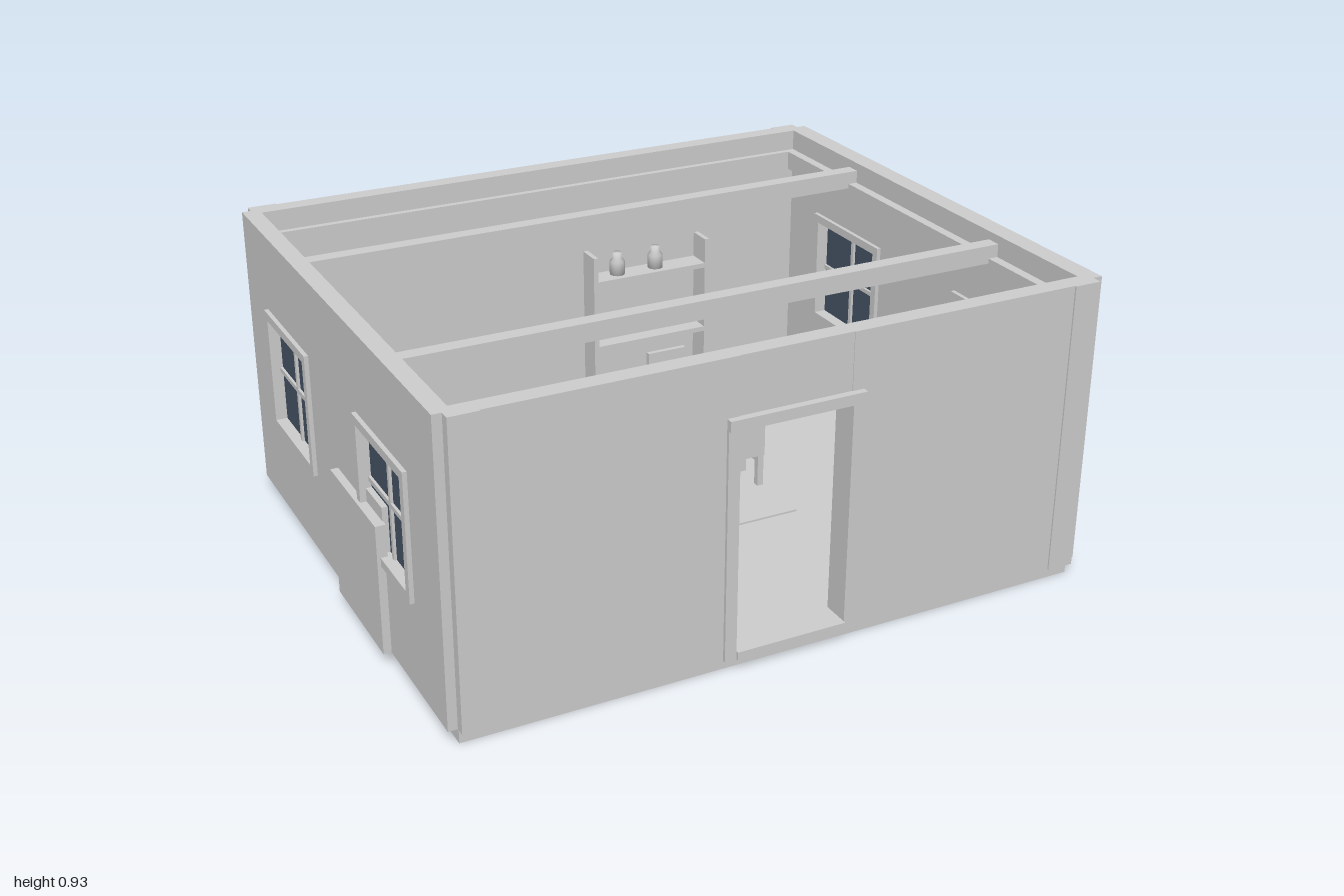
import * as THREE from 'three';

export function createModel() {
  const model = new THREE.Group();
  const plaster = new THREE.MeshStandardMaterial({ name: 'plainGrey', color: 0xcccccc });
  const glass = new THREE.MeshStandardMaterial({ name: 'darkGlass', color: 0x445464 });

  const group = (name, parent = model) => {
    const g = new THREE.Group();
    g.name = name;
    parent.add(g);
    return g;
  };
  const add = (name, geometry, parent, material = plaster) => {
    const m = new THREE.Mesh(geometry, material);
    m.name = name;
    parent.add(m);
    return m;
  };
  // Box given by its limits on each axis
  const box = (name, x0, x1, y0, y1, z0, z1, parent = model, material = plaster) => {
    const m = add(name, new THREE.BoxGeometry(x1 - x0, y1 - y0, z1 - z0), parent, material);
    m.position.set((x0 + x1) / 2, (y0 + y1) / 2, (z0 + z1) / 2);
    return m;
  };
  // Turned part from [radius, height] pairs
  const turned = (name, points, x, y, z, parent = model, sides = 24) => {
    const m = add(name, new THREE.LatheGeometry(points.map(p => new THREE.Vector2(...p)), sides), parent);
    m.position.set(x, y, z);
    return m;
  };

  const FLOOR = 0.065, BASE = 0.04, TOP = 0.925;

  // Foundation and floor
  box('foundation', -0.95, 0.957, 0, BASE, -0.795, 0.79);
  box('floor', -0.925, 0.925, BASE, FLOOR, -0.77, 0.755);

  // Back wall and front wall with the door opening
  const walls = group('walls');
  box('backWall', -0.95, 0.957, BASE, TOP, -0.825, -0.77, walls);
  box('frontWallRight', -0.95, -0.165, BASE, TOP, 0.755, 0.81, walls);
  box('frontWallLeft', 0.172, 0.957, BASE, TOP, 0.755, 0.81, walls);
  box('doorHeader', -0.165, 0.172, 0.725, TOP, 0.755, 0.808, walls);
  for (const [x0, x1] of [[-0.95, -0.865], [0.875, 0.957]]) {
    box('cornerBoard', x0, x1, BASE, TOP, -0.832, -0.8, walls);
    box('cornerBoard', x0, x1, BASE, TOP, 0.79, 0.815, walls);
  }

  // Side walls, each with two openings
  const openings = [[-0.57, -0.235], [0.225, 0.56]];
  const y0 = 0.335, y1 = 0.66;
  const sides = [
    { side: -1, inner: -0.925, outer: -0.977 },
    { side: 1, inner: 0.925, outer: 0.986 },
  ];
  for (const { side, inner, outer } of sides) {
    const a = Math.min(inner, outer), b = Math.max(inner, outer);
    for (const [z0, z1] of [[-0.8, -0.57], [-0.235, 0.225], [0.56, 0.785]])
      box('sideWall', a, b, BASE, TOP, z0, z1, walls);
    for (const [z0, z1] of openings) {
      box('wallBelowWindow', a, b, BASE, y0, z0, z1, walls);
      box('wallAboveWindow', a, b, y1, TOP, z0, z1, walls);

      const win = group('window');
      const mid = (a + b) / 2, zc = (z0 + z1) / 2, yc = (y0 + y1) / 2;
      box('windowPane', mid - 0.004, mid + 0.004, y0, y1, z0, z1, win, glass);
      box('muntinUpright', mid - 0.012, mid + 0.012, y0, y1, zc - 0.007, zc + 0.007, win);
      box('muntinBar', mid - 0.012, mid + 0.012, yc - 0.007, yc + 0.007, z0, z1, win);
      // Casing on the outside and inside faces
      for (const face of [outer + side * 0.004, inner - side * 0.004]) {
        const p = face - 0.009, q = face + 0.009, w = 0.026;
        box('casing', p, q, y1, y1 + w, z0 - w, z1 + w, win);
        box('casing', p, q, y0 - w, y0, z0 - w, z1 + w, win);
        box('casing', p, q, y0, y1, z0 - w, z0, win);
        box('casing', p, q, y0, y1, z1, z1 + w, win);
      }
    }
  }

  // Door frame and sill
  const door = group('doorFrame');
  box('doorJamb', -0.2, -0.165, BASE, 0.725, 0.735, 0.82, door);
  box('doorJamb', 0.172, 0.207, BASE, 0.725, 0.735, 0.82, door);
  box('doorLintel', -0.2, 0.207, 0.725, 0.757, 0.735, 0.83, door);
  box('doorSill', -0.165, 0.172, BASE, FLOOR, 0.755, 0.828, door);

  // Wall plates and ceiling beams
  const frame = group('roofTimbers');
  box('backPlate', -0.925, 0.925, 0.8, 0.86, -0.77, -0.75, frame);
  box('frontPlate', -0.925, 0.925, 0.8, 0.86, 0.73, 0.755, frame);
  box('sidePlate', -0.925, -0.89, 0.8, 0.86, -0.75, 0.73, frame);
  box('sidePlate', 0.895, 0.925, 0.8, 0.86, -0.75, 0.73, frame);
  for (const z of [-0.39, 0.372])
    box('ceilingBeam', -0.925, 0.925, 0.845, 0.9, z - 0.023, z + 0.023, frame);
  box('baseboard', -0.925, 0.925, FLOOR, 0.095, -0.77, -0.755, frame);

  // Fireplace on the right wall with its outside panel
  const fireplace = group('fireplace');
  box('fireplaceBody', -0.972, -0.84, FLOOR, 0.47, -0.03, 0.35, fireplace);
  box('hearth', -0.84, -0.795, FLOOR, 0.1, 0.08, 0.28, fireplace);
  box('outerPanel', -1.0, -0.97, BASE, 0.43, 0, 0.37, fireplace);

  // Bed with headboard, pillow and blanket
  const bed = group('bed');
  box('bedFrame', -0.84, -0.52, FLOOR, 0.16, -0.745, -0.29, bed);
  box('mattress', -0.83, -0.53, 0.16, 0.2, -0.735, -0.29, bed);
  box('pillow', -0.82, -0.54, 0.2, 0.225, -0.73, -0.665, bed);

  // Chest at the foot of the bed
  const chest = group('chest');
  box('chestBody', -0.843, -0.52, FLOOR, 0.19, -0.285, -0.1, chest);
  box('chestLid', -0.78, -0.58, 0.19, 0.205, -0.267, -0.143, chest);

  // Rug and stool
  box('rug', -0.375, 0.382, FLOOR, 0.071, -0.325, 0.213);
  const stool = group('stool');
  stool.position.set(-0.326, FLOOR, -0.245);
  stool.rotation.y = 0.19;
  box('stoolSeat', -0.08, 0.08, 0.1, 0.125, -0.078, 0.078, stool);
  for (const x of [-0.06, 0.06]) for (const z of [-0.06, 0.06])
    box('stoolLeg', x - 0.01, x + 0.01, 0, 0.1, z - 0.01, z + 0.01, stool);

  // Table and the things on it
  const table = group('table');
  box('tableTop', 0.132, 0.477, 0.26, 0.285, -0.36, -0.135, table);
  for (const x of [0.155, 0.454]) for (const z of [-0.335, -0.16])
    box('tableLeg', x - 0.014, x + 0.014, FLOOR, 0.26, z - 0.014, z + 0.014, table);
  turned('mug', [[0, 0], [0.028, 0], [0.033, 0.045], [0.026, 0.045], [0.022, 0.012], [0, 0.012]],
    0.243, 0.285, -0.255, table);
  turned('cup', [[0, 0], [0.013, 0], [0.013, 0.02], [0, 0.02]], 0.375, 0.285, -0.212, table, 12);
  turned('candle', [[0, 0], [0.006, 0], [0.006, 0.04], [0, 0.04]], 0.322, 0.285, -0.293, table, 10);

  // Two chairs facing the table
  for (const [z, dir] of [[-0.455, -1], [-0.04, 1]]) {
    const chair = group('chair');
    chair.position.set(0.308, FLOOR, z);
    chair.scale.z = dir;
    box('chairSeat', -0.067, 0.067, 0.11, 0.13, -0.066, 0.066, chair);
    box('chairBack', -0.067, 0.067, 0.13, 0.27, 0.05, 0.066, chair);
    for (const x of [-0.055, 0.055]) for (const lz of [-0.054, 0.054])
      box('chairLeg', x - 0.01, x + 0.01, 0, 0.11, lz - 0.01, lz + 0.01, chair);
  }

  // Wall shelf rack with two jars
  const rack = group('shelfRack');
  for (const x of [0.124, 0.534])
    box('rackSide', x, x + 0.016, FLOOR, 0.63, -0.75, -0.67, rack);
  for (const y of [0.1, 0.3, 0.53])
    box('rackShelf', 0.14, 0.534, y, y + 0.016, -0.75, -0.67, rack);
  for (const x of [0.23, 0.37])
    turned('jar', [[0, 0], [0.025, 0], [0.025, 0.045], [0.016, 0.056], [0.016, 0.075], [0, 0.075]],
      x, 0.546, -0.715, rack, 16);

  // Barrels by the left wall
  for (const [x, z, r] of [[0.652, 0.322, 0.089], [0.685, 0.485, 0.094]])
    turned('barrel', [[0, 0], [r * 0.85, 0], [r * 0.96, 0.05], [r, 0.105], [r * 0.96, 0.16],
      [r * 0.85, 0.21], [r * 0.85, 0.21], [0, 0.21]], x, FLOOR, z);

  // Candle stand
  turned('candleStand', [[0, 0], [0.042, 0], [0.042, 0.01], [0.02, 0.02], [0.009, 0.03],
    [0.009, 0.25], [0.022, 0.255], [0.022, 0.27], [0, 0.27]], -0.648, FLOOR, 0.055, model, 16);

  return model;
}
